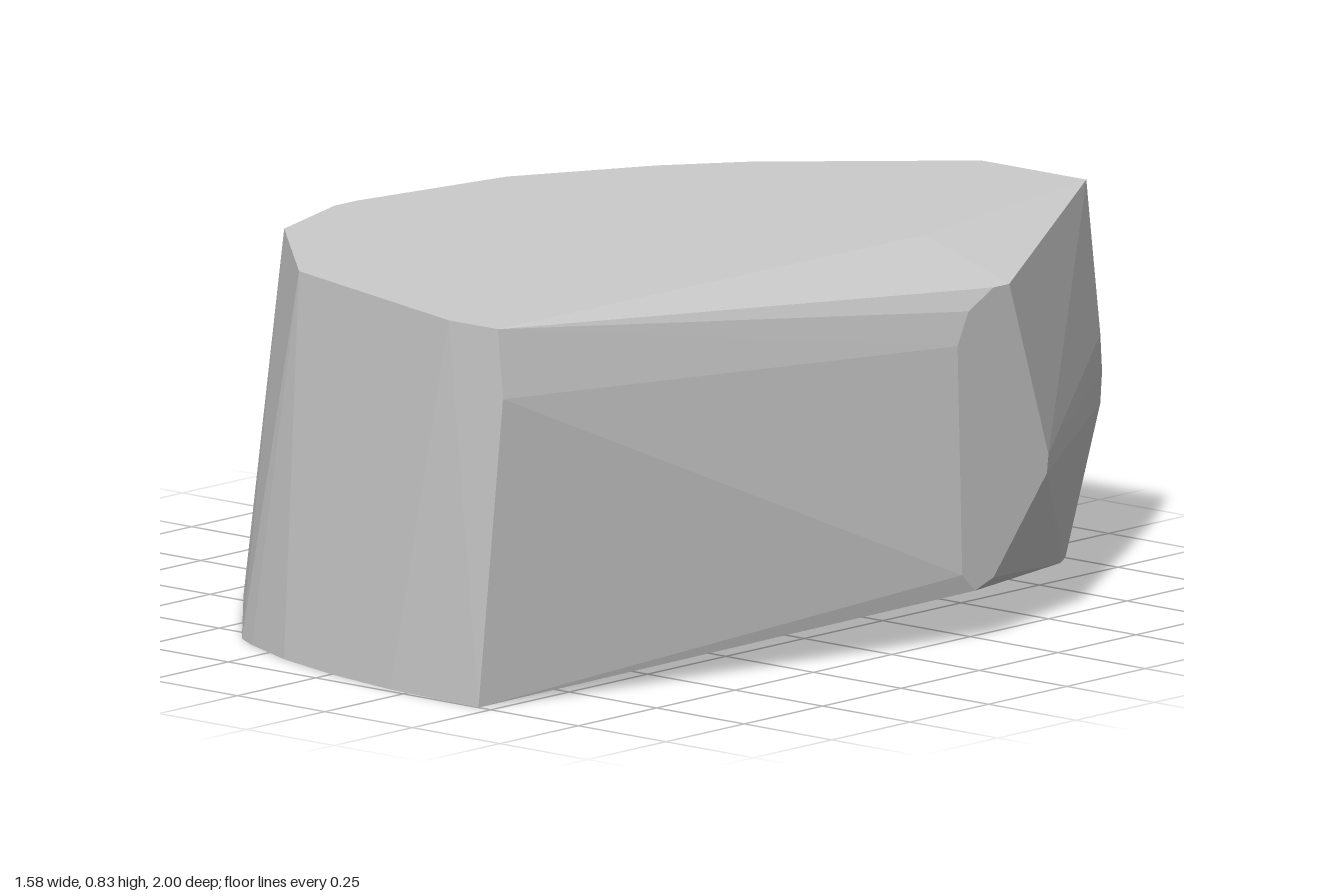
import * as THREE from 'three';
import { ConvexGeometry } from 'three/addons/geometries/ConvexGeometry.js';

const HEIGHT = 0.83;

// Outline of the flat top, as [x, z]
const top = [
  [0.11, -1], [0.41, -1], [0.54, -0.34], [0.52, 1], [0.38, 1], [-0.2, 0.83],
  [-0.52, 0.52], [-0.6, 0.27], [-0.6, 0.2], [-0.53, -0.2], [-0.37, -0.5], [-0.25, -0.66],
];

// Outline of the flat base, as [x, z]
const base = [
  [0.115, -1], [0.35, -1], [0.38, -0.95], [0.465, 1], [0.2, 0.985], [0, 0.95], [-0.18, 0.9],
  [-0.33, 0.835], [-0.39, 0.8], [-0.69, 0.46], [-0.79, 0.27], [-0.71, -0.18], [-0.58, -0.42],
  [-0.34, -0.7],
];

// Flat cut on the +x side, as [y, z]
const sideCut = [
  [0.76, -0.28], [0.76, -0.33], [0.37, -0.455], [0.33, -0.45], [0.13, -0.28],
  [0.11, -0.22], [0.15, -0.18], [0.65, -0.165], [0.72, -0.2],
];

// Bulging edges of the flat cut at the back, as [x, y]
const backCut = [[0.02, 0.55], [0, 0.47], [0, 0.42], [0.02, 0.34], [0.45, 0.5], [0.455, 0.42], [0.45, 0.35]];

export function createModel() {
  const group = new THREE.Group();
  group.name = 'rock';

  const points = [
    ...top.map(([x, z]) => new THREE.Vector3(x, HEIGHT, z)),
    ...base.map(([x, z]) => new THREE.Vector3(x, 0, z)),
    ...sideCut.map(([y, z]) => new THREE.Vector3(0.79, y, z)),
    ...backCut.map(([x, y]) => new THREE.Vector3(x, y, -1)),
    // Slight bulge of the front corner
    new THREE.Vector3(0.535, 0.68, 1),
  ];

  const stone = new THREE.Mesh(
    new ConvexGeometry(points),
    new THREE.MeshStandardMaterial({ color: 0xcccccc, flatShading: true }),
  );
  stone.name = 'stone';
  group.add(stone);
  return group;
}
